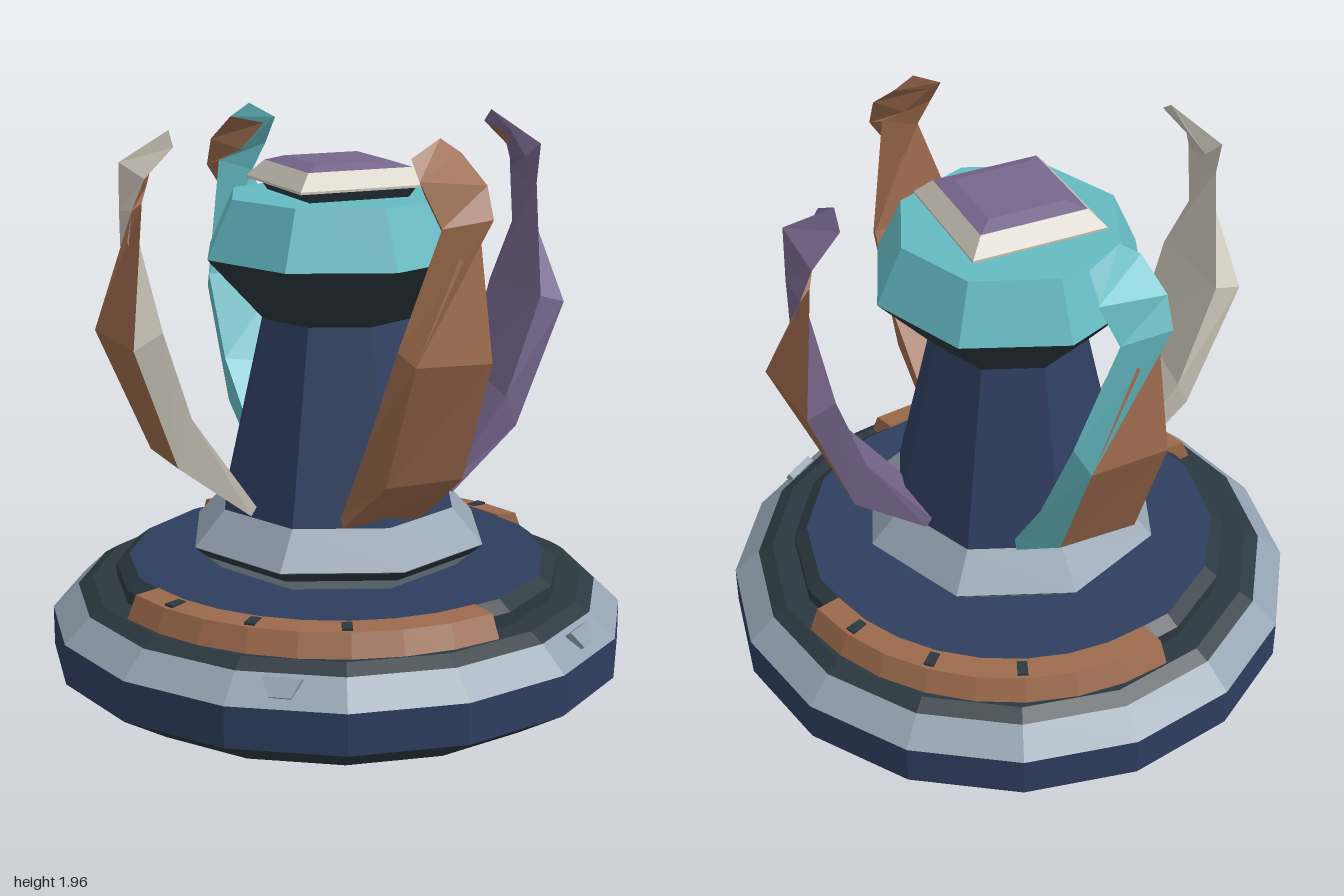
import * as THREE from 'three';

const mat = (name, color) => {
  const m = new THREE.MeshStandardMaterial({ color });
  m.name = name;
  return m;
};

export function createModel() {
  const model = new THREE.Group();
  model.name = 'clawedPedestal';

  const navy = mat('navy', 0x2f3e60);
  const slate = mat('darkSlate', 0x2b383f);
  const grey = mat('blueGrey', 0x94a2b0);
  const cyan = mat('cyan', 0x64bac2);
  const brown = mat('copperBrown', 0x9b694b);
  const purple = mat('purple', 0x77668c);
  const cream = mat('cream', 0xcac5b9);

  const add = (name, geometry, material, parent = model) => {
    const mesh = new THREE.Mesh(geometry, material);
    mesh.name = name;
    parent.add(mesh);
    return mesh;
  };

  // Faceted turned part; the profile runs from bottom to top
  const turned = (name, sides, profile, material, turn = 0) => {
    const points = profile.map(([r, y]) => new THREE.Vector2(r, y));
    const g = new THREE.LatheGeometry(points, sides).toNonIndexed();
    g.computeVertexNormals();
    return add(name, g.rotateY(turn), material);
  };

  // Capped loft through four-cornered sections; side 0 gets group 0, the rest group 1
  const loft = (sections) => {
    const pos = [];
    const quad = (a, b, c, d) => pos.push(...a, ...b, ...c, ...a, ...c, ...d);
    const g = new THREE.BufferGeometry();
    for (let j = 0; j < 4; j++) {
      const k = (j + 1) % 4;
      for (let s = 0; s < sections.length - 1; s++) {
        const lo = sections[s], hi = sections[s + 1];
        quad(lo[j], lo[k], hi[k], hi[j]);
      }
    }
    quad(...[...sections[0]].reverse());
    quad(...sections[sections.length - 1]);
    const first = (sections.length - 1) * 6;
    g.setAttribute('position', new THREE.Float32BufferAttribute(pos, 3));
    g.addGroup(0, first, 0);
    g.addGroup(first, pos.length / 3 - first, 1);
    g.computeVertexNormals();
    return g;
  };

  // Sixteen-sided base
  turned('baseFoot', 16, [[0, 0], [0.82, 0], [1, 0.11]], slate);
  turned('baseBand', 16, [[1, 0.11], [1, 0.25]], navy);
  turned('baseBevel', 16, [[1, 0.25], [0.91, 0.335]], grey);
  turned('baseStep', 16, [[0.91, 0.335], [0.86, 0.365], [0.775, 0.365], [0.775, 0.41], [0.73, 0.445]], slate);
  turned('baseTop', 16, [[0.73, 0.445], [0, 0.445]], navy);

  // Two curved rails with dark slots, opposite each other
  for (const half of [0, 1]) {
    const rail = new THREE.Group();
    rail.name = 'railAssembly';
    rail.rotation.y = half * Math.PI;
    model.add(rail);
    const sections = [];
    for (let i = 0; i <= 8; i++) {
      const a = THREE.MathUtils.degToRad(-80 + (94 * i) / 8);
      sections.push([[0.84, 0.362], [0.72, 0.362], [0.72, 0.45], [0.805, 0.442]]
        .map(([r, y]) => [r * Math.sin(a), y, r * Math.cos(a)]));
    }
    add('curvedRail', loft(sections), [brown, brown], rail);
    for (const deg of [-68, -45, -22]) {
      const a = THREE.MathUtils.degToRad(deg);
      const slot = add('railSlot', new THREE.BoxGeometry(0.035, 0.009, 0.06), slate, rail);
      slot.position.set(0.762 * Math.sin(a), 0.447, 0.762 * Math.cos(a));
      slot.rotation.y = a;
    }
  }

  // Small vents on the front of the grey bevel
  for (const side of [-1, 1]) {
    const shape = new THREE.Shape([[-0.035, -0.035], [0.035, -0.035], [0.065, 0.03], [-0.065, 0.03]]
      .map(([x, y]) => new THREE.Vector2(x, y)));
    const g = new THREE.ExtrudeGeometry(shape, { depth: 0.025, bevelEnabled: false });
    g.rotateX(-0.6);
    const vent = add('bevelVent', g, grey);
    const a = side * THREE.MathUtils.degToRad(35);
    vent.position.set(0.925 * Math.sin(a), 0.298, 0.925 * Math.cos(a));
    vent.rotation.y = a;
  }

  // Eight-sided column
  turned('collar', 8, [[0.43, 0.44], [0.53, 0.53], [0.42, 0.65]], grey);
  turned('collarUnderside', 8, [[0.425, 0.438], [0.53, 0.528]], slate);
  turned('columnBody', 8, [[0.42, 0.65], [0.27, 1.3]], navy);
  turned('headUnderside', 8, [[0.27, 1.3], [0.47, 1.515]], slate);
  turned('head', 8, [[0.47, 1.515], [0.38, 1.71], [0, 1.71]], cyan);

  // Square cap
  const q = Math.SQRT2, eighth = Math.PI / 4;
  turned('capNeck', 4, [[0.18 * q, 1.71], [0.2 * q, 1.747], [0.235 * q, 1.747]], slate, eighth);
  turned('capRim', 4, [[0.235 * q, 1.747], [0.235 * q, 1.755], [0.187 * q, 1.81]], cream, eighth);
  turned('capTop', 4, [[0.187 * q, 1.81], [0.135 * q, 1.828], [0, 1.828]], purple, eighth);

  // Twisted claws: corners are outer left, outer right, inner right, inner left
  const clawGeometry = loft([
    [[-0.15, 0.655, 0.375], [0.14, 0.66, 0.38], [0.14, 0.69, 0.36], [-0.15, 0.69, 0.36]],
    [[-0.12, 0.86, 0.64], [0.152, 0.86, 0.64], [0.18, 1.03, 0.6], [-0.16, 0.98, 0.575]],
    [[-0.112, 1.29, 0.827], [0.172, 1.27, 0.79], [0.2, 1.33, 0.7], [-0.125, 1.32, 0.725]],
    [[0.17, 1.72, 0.785], [0.14, 1.74, 0.74], [0.01, 1.7, 0.735], [0, 1.7, 0.77]],
    [[0.17, 1.82, 0.74], [0.07, 1.78, 0.7], [-0.03, 1.8, 0.705], [-0.065, 1.845, 0.746]],
    [[0.136, 1.91, 0.63], [0.0, 1.88, 0.645], [-0.04, 1.9, 0.635], [0.067, 1.957, 0.62]],
  ]);
  [['frontClaw', brown], ['leftClaw', purple], ['backClaw', cyan], ['rightClaw', cream]]
    .forEach(([name, color], i) => {
      add(name, clawGeometry, [brown, color]).rotation.y = (i * Math.PI) / 2;
    });

  return model;
}
